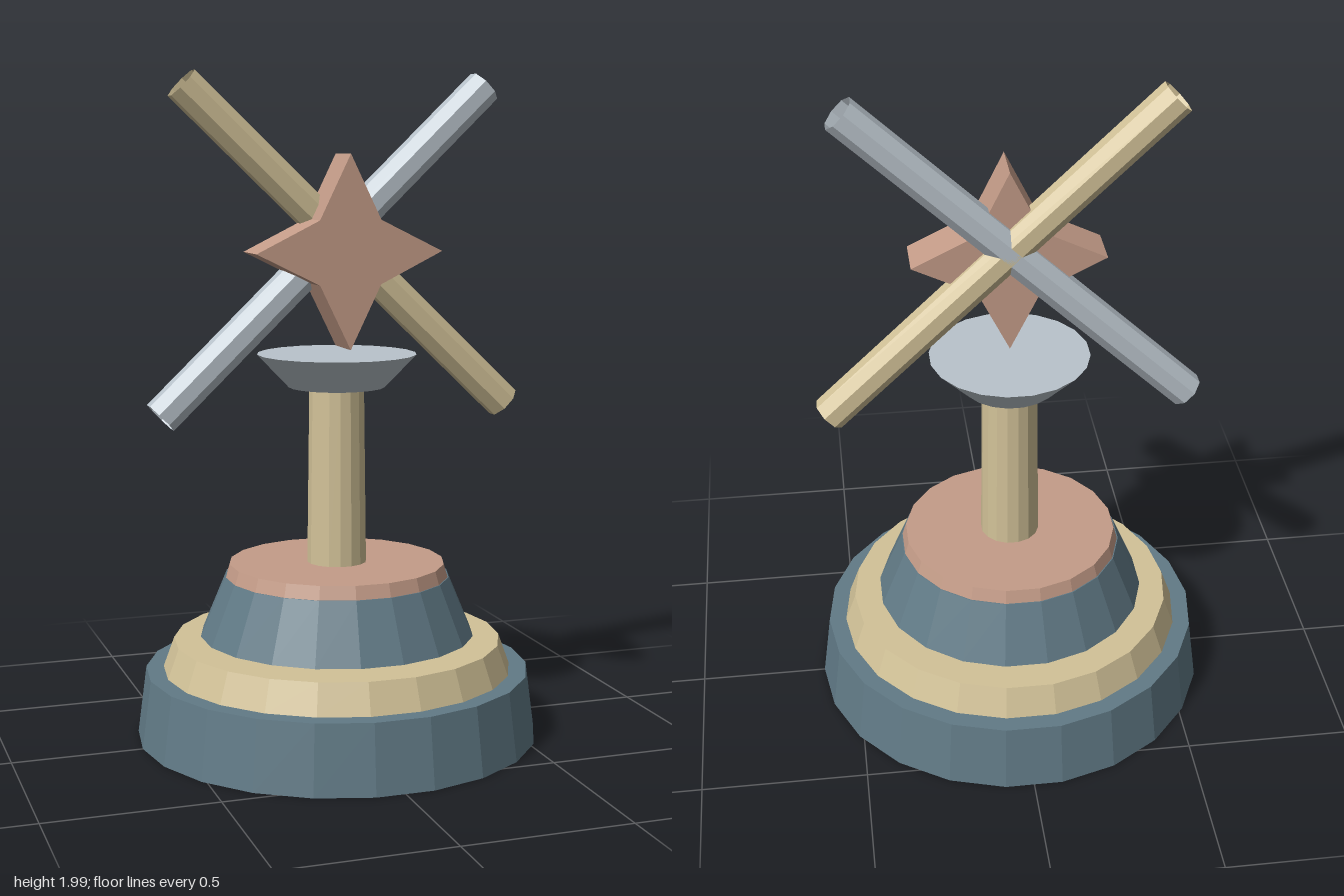
import * as THREE from 'three';

const SLATE = 0x617a86, GOLD = 0xd2c298, ROSE = 0xc49c88, SILVER = 0xb9c3cb;

function material(color, extra = {}) {
  return new THREE.MeshStandardMaterial({ color, flatShading: true, ...extra });
}

export function createModel() {
  const model = new THREE.Group();
  model.name = 'windmillOrnament';

  const add = (name, geometry, mat) => {
    const mesh = new THREE.Mesh(geometry, mat);
    mesh.name = name;
    model.add(mesh);
    return mesh;
  };

  // Stacked round parts: name, colour, bottom y, top y, bottom radius, top radius, sides, turn
  const half = Math.PI / 20;
  const tiers = [
    ['baseTier', SLATE, 0, 0.205, 0.61, 0.583, 22, Math.PI / 2],
    ['middleTier', GOLD, 0.205, 0.296, 0.53, 0.497, 22, Math.PI / 2],
    ['upperTier', SLATE, 0.31, 0.49, 0.417, 0.342, 20, half],
    ['capTier', ROSE, 0.49, 0.53, 0.339, 0.327, 20, half],
    ['post', GOLD, 0.53, 1.065, 0.09, 0.083, 16, Math.PI / 16],
    ['dish', SILVER, 1.065, 1.165, 0.145, 0.24, 20, half],
  ];
  for (const [name, color, y0, y1, r0, r1, sides, turn] of tiers) {
    const geometry = new THREE.CylinderGeometry(r1, r0, y1 - y0, sides);
    geometry.rotateY(turn);
    add(name, geometry, material(color)).position.y = (y0 + y1) / 2;
  }

  // Two crossed open tubes, mirrored left to right
  for (const [name, color, side] of [['goldSail', GOLD, 1], ['silverSail', SILVER, -1]]) {
    const top = new THREE.Vector3(-0.468 * side, 1.958, 0);
    const bottom = new THREE.Vector3(0.542 * side, 0.995, 0);
    const axis = top.clone().sub(bottom);
    const geometry = new THREE.CylinderGeometry(0.055, 0.055, axis.length(), 8, 1, true);
    geometry.rotateY(Math.PI / 8);
    const sail = add(name, geometry, material(color, { side: THREE.DoubleSide }));
    sail.position.copy(top).add(bottom).multiplyScalar(0.5);
    sail.quaternion.setFromUnitVectors(new THREE.Vector3(0, 1, 0), axis.normalize());
  }

  // Four-pointed star in front of the crossing
  const points = [];
  for (let i = 0; i < 8; i++) {
    const r = i % 2 ? 0.133 : 0.285;
    const a = (i * Math.PI) / 4;
    points.push(new THREE.Vector2(Math.cos(a) * r, Math.sin(a) * r));
  }
  const starGeometry = new THREE.ExtrudeGeometry(new THREE.Shape(points), { depth: 0.14, bevelEnabled: false });
  add('star', starGeometry, material(ROSE)).position.set(0, 1.473, -0.01);

  return model;
}
